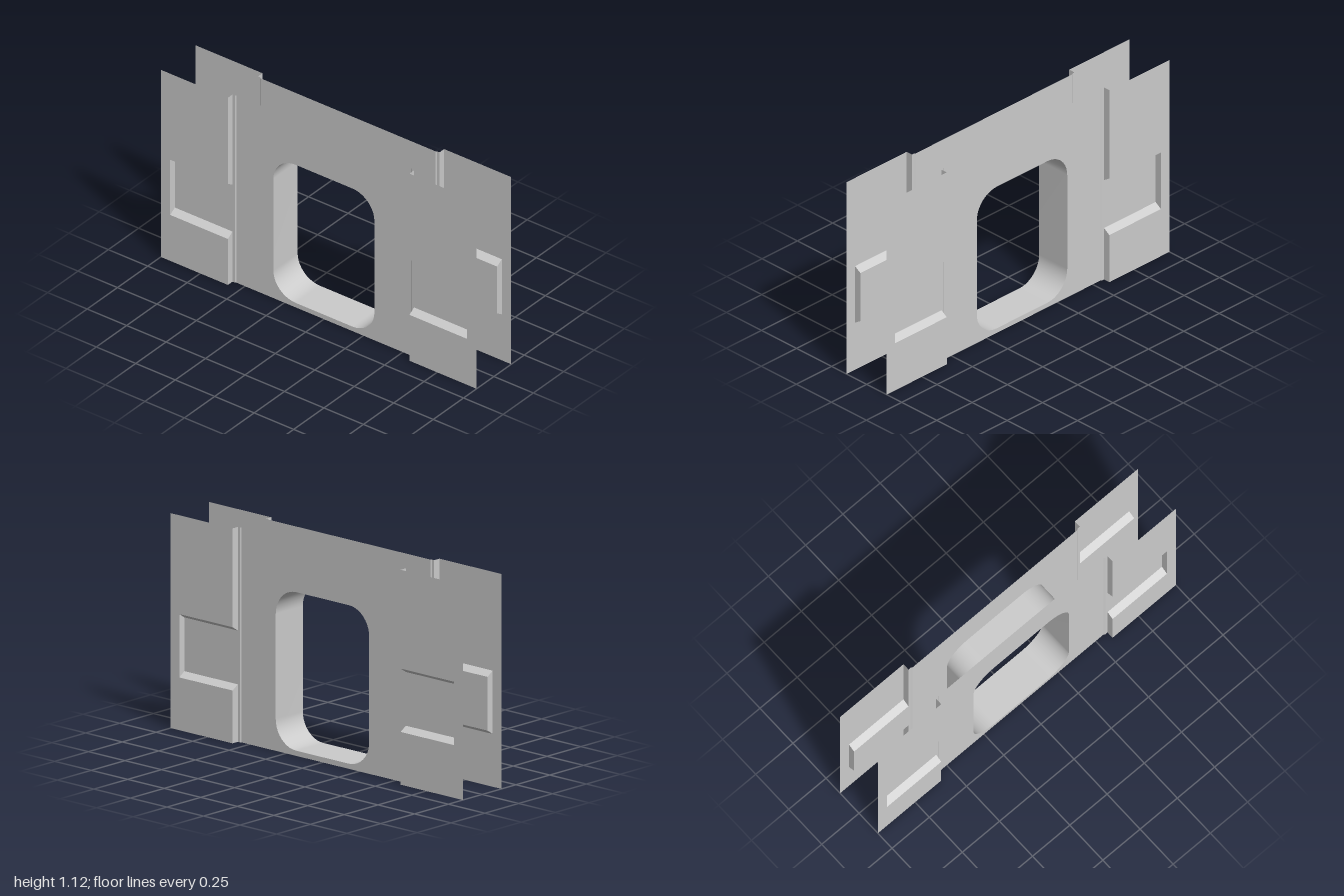
import * as THREE from 'three';

const H = 1.12;                    // panel height
const Z0 = 0.10, ZF = 0.105, Z1 = 0.143; // web, recess floor and raised plate depths
const XA = 0.553, XB = 0.56, XC = 0.575, XE = 0.94; // step and recess positions
const Y0 = 0.275, Y1 = 0.30, Y2 = 0.58, Y3 = 0.605; // recess lips and floor

const mat = new THREE.MeshStandardMaterial({ color: 0xcccccc, side: THREE.DoubleSide });

function add(parent, name, geo) {
  const m = new THREE.Mesh(geo, mat);
  m.name = name;
  parent.add(m);
  return m;
}

// Flat four-cornered sheet, corners anticlockwise seen from its front
function quad(a, b, c, d) {
  const g = new THREE.BufferGeometry();
  g.setAttribute('position', new THREE.Float32BufferAttribute([a, b, c, d].flat(), 3));
  g.setIndex([0, 1, 2, 0, 2, 3]);
  g.computeVertexNormals();
  return g;
}

const rect = (x0, x1, y0, y1, z) =>
  quad([x0, y0, z], [x1, y0, z], [x1, y1, z], [x0, y1, z]);

const poly = pts => new THREE.Shape(pts.map(p => new THREE.Vector2(...p)));

// Rounded window outline, anticlockwise
function windowPoints() {
  const r = 0.14, x = 0.32 - r, lo = 0.027 + r, hi = 0.853 - r, n = 10, pts = [];
  [[x, hi], [-x, hi], [-x, lo], [x, lo]].forEach(([cx, cy], k) => {
    for (let i = 0; i <= n; i++) {
      const a = (k + i / n) * Math.PI / 2;
      pts.push([cx + r * Math.cos(a), cy + r * Math.sin(a)]);
    }
  });
  return pts;
}

// Smooth sleeve joining both windows
function sleeveGeometry(pts) {
  const pos = [], idx = [], n = pts.length;
  pts.forEach(([x, y]) => pos.push(x, y, Z0, x, y, -Z0));
  for (let i = 0; i < n; i++) {
    const a = 2 * i, b = 2 * ((i + 1) % n);
    idx.push(a, a + 1, b, b, a + 1, b + 1);
  }
  const g = new THREE.BufferGeometry();
  g.setAttribute('position', new THREE.Float32BufferAttribute(pos, 3));
  g.setIndex(idx);
  g.computeVertexNormals();
  return g;
}

// Raised side plate with its pressed recess, on the +x side
function sidePlate() {
  const g = new THREE.Group();
  g.name = 'sidePlate';
  const plate = new THREE.ShapeGeometry(poly([
    [XC, 0], [1, 0], [1, H], [XC, H], [XC, Y3], [XE, Y3], [XE, Y0], [XC, Y0]]));
  plate.translate(0, 0, Z1);
  add(g, 'raisedPlate', plate);

  // Recess floor, sloping lips and end wall
  add(g, 'recessFloor', rect(XB, XE, Y1, Y2, ZF));
  add(g, 'lowerLip', quad([XC, Y0, Z1], [XE, Y0, Z1], [XE, Y1, ZF], [XC, Y1, ZF]));
  add(g, 'upperLip', quad([XC, Y2, ZF], [XE, Y2, ZF], [XE, Y3, Z1], [XC, Y3, Z1]));
  add(g, 'recessEnd', new THREE.ShapeGeometry(poly([[Y0, Z1], [Y1, ZF], [Y2, ZF], [Y3, Z1]])))
    .geometry.applyMatrix4(new THREE.Matrix4().set(
      0, 0, 1, XE, 1, 0, 0, 0, 0, 1, 0, 0, 0, 0, 0, 1));

  // Stepped edge below and above the recess
  const edges = [[0, Y1, Y0], [Y2, H, H]];
  edges.forEach(([lo, hi], k) => {
    add(g, 'stepBevel', quad([XA, lo, Z0], [XB, lo, ZF], [XB, hi, ZF], [XA, hi, Z0]));
    add(g, 'stepLedge', rect(XB, XC, lo, hi, ZF));
    const wall = k === 0
      ? quad([XC, 0, ZF], [XC, 0, Z1], [XC, Y0, Z1], [XC, Y1, ZF])
      : quad([XC, Y2, ZF], [XC, Y3, Z1], [XC, H, Z1], [XC, H, ZF]);
    add(g, 'stepWall', wall);
  });
  add(g, 'recessThreshold', quad([XA, Y1, Z0], [XB, Y1, ZF], [XB, Y2, ZF], [XA, Y2, Z0]));
  return g;
}

function panel(name, pts) {
  const g = new THREE.Group();
  g.name = name;
  const web = poly([[-XA, 0], [XA, 0], [XA, H], [-XA, H]]);
  web.holes.push(new THREE.Path(pts.map(p => new THREE.Vector2(...p)).reverse()));
  const geo = new THREE.ShapeGeometry(web);
  geo.translate(0, 0, Z0);
  add(g, 'centreWeb', geo);
  for (const s of [1, -1]) {
    const side = sidePlate();
    side.scale.x = s;
    g.add(side);
  }
  return g;
}

export function createModel() {
  const model = new THREE.Group();
  model.name = 'windowPanel';
  const pts = windowPoints();
  const back = panel('backPanel', pts);
  back.rotation.y = Math.PI;
  model.add(panel('frontPanel', pts), back);
  add(model, 'windowSleeve', sleeveGeometry(pts));
  return model;
}
